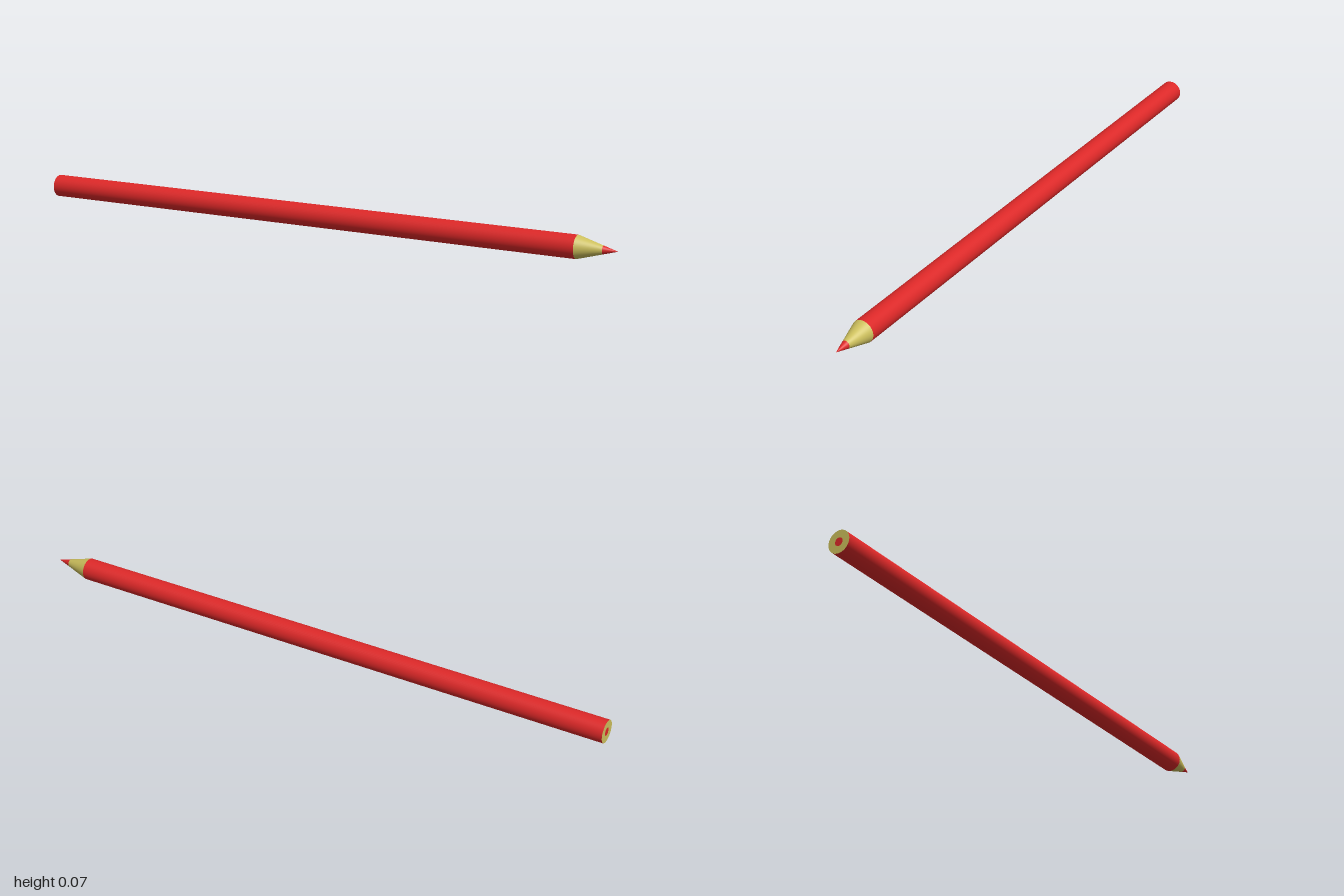
import * as THREE from 'three';

const SIDES = 48;
const R = 0.036;      // barrel radius
const CORE = 0.013;   // coloured core radius

export function createModel() {
  const model = new THREE.Group();
  model.name = 'pencil';

  const red = new THREE.MeshStandardMaterial({ color: 0xdd2828 });
  const wood = new THREE.MeshStandardMaterial({ color: 0xccbf5c });

  const add = (name, geometry, material) => {
    const mesh = new THREE.Mesh(geometry, material);
    mesh.name = name;
    model.add(mesh);
  };

  // Open round section between two stations along x
  const section = (x0, x1, r0, r1) =>
    new THREE.CylinderGeometry(r1, r0, x1 - x0, SIDES, 1, true)
      .rotateZ(-Math.PI / 2)
      .translate((x0 + x1) / 2, R, 0);

  // Flat piece closing the blunt end, facing -x
  const endCap = (geometry) => geometry.rotateY(-Math.PI / 2).translate(-1, R, 0);

  // Painted barrel
  add('barrel', section(-1, 0.875, R, R), red);

  // Sharpened end: bare wood, then the core's point
  add('sharpenedWood', section(0.875, 0.955, R, CORE), wood);
  add('coreTip', section(0.955, 1, CORE, 0), red);

  // Blunt end: wood ring around the core
  add('endWood', endCap(new THREE.RingGeometry(CORE, R, SIDES)), wood);
  add('endCore', endCap(new THREE.CircleGeometry(CORE, SIDES)), red);

  return model;
}
